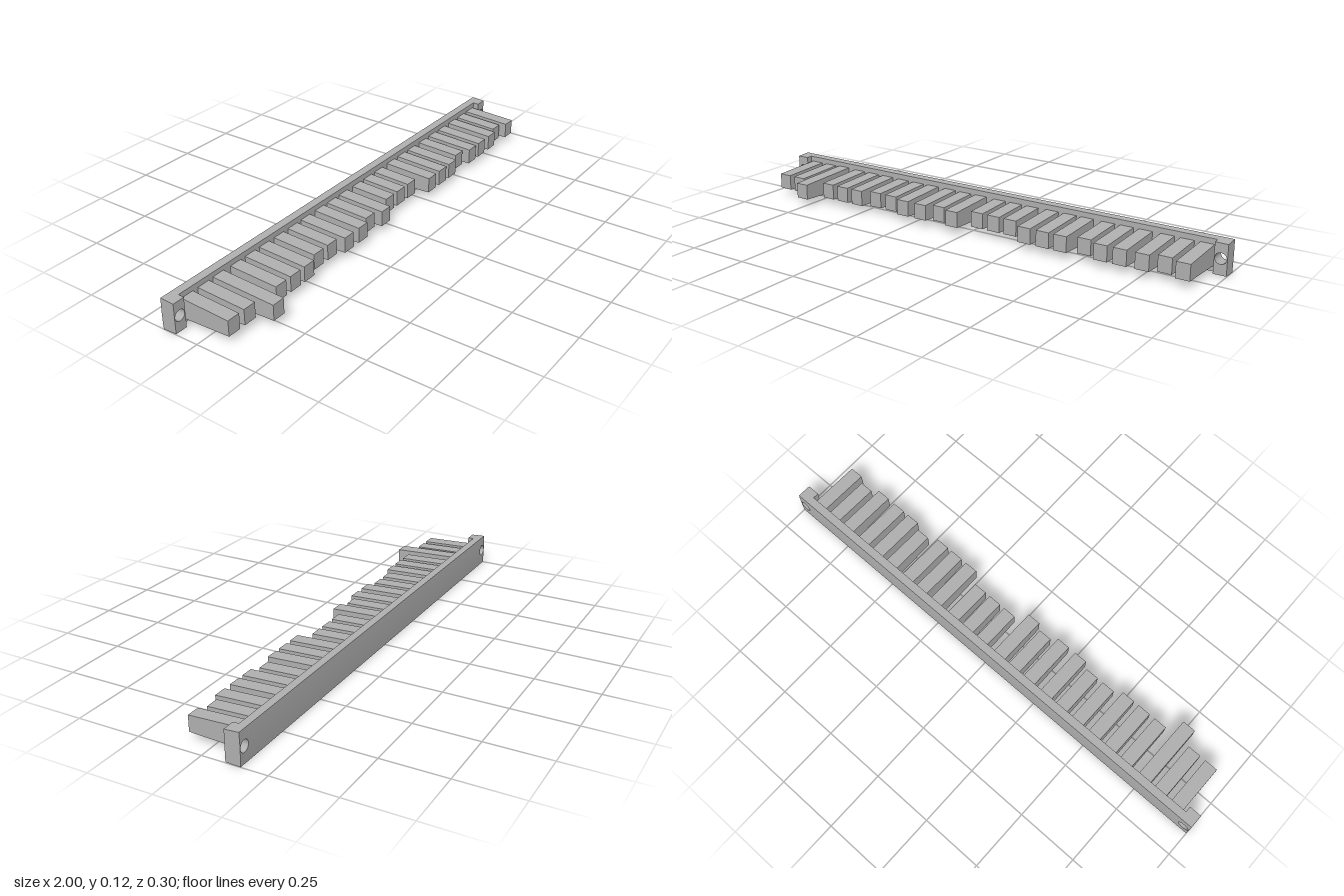
import * as THREE from 'three';

const MID = 0.0635;              // height of the bar's centre line
const BACK = -0.15, PLATE_FRONT = -0.116, END_FRONT = -0.092;
const HALF = 0.0625;             // half height at the back

// Draft the top and bottom towards the front and crown the back face slightly.
function shapeBar(geometry) {
  const p = geometry.attributes.position;
  for (let i = 0; i < p.count; i++) {
    const y = p.getY(i), z = p.getZ(i);
    p.setY(i, MID + y * (1 - 0.83 * (z - BACK)));
    if (z < BACK + 0.001) p.setZ(i, BACK + 0.0015 * (y / HALF) ** 2);
  }
  geometry.computeVertexNormals();
  return geometry;
}

// Long middle part of the backing bar.
function barGeometry() {
  const depth = PLATE_FRONT - BACK;
  const g = new THREE.BoxGeometry(1.9, HALF * 2, depth, 1, 8, 1);
  g.translate(0, 0, BACK + depth / 2);
  return shapeBar(g);
}

// Thicker end block with a round screw hole through it.
function endGeometry(side) {
  const cx = side * 0.975, w = 0.025;
  const points = [];
  for (let i = 0; i <= 8; i++) points.push(new THREE.Vector2(cx + w, -HALF + i * HALF / 4));
  for (let i = 8; i >= 0; i--) points.push(new THREE.Vector2(cx - w, -HALF + i * HALF / 4));
  const shape = new THREE.Shape(points);
  const hole = new THREE.Path();
  hole.absarc(cx, 0.002, 0.0225, 0, Math.PI * 2, true);
  shape.holes.push(hole);
  const g = new THREE.ExtrudeGeometry(shape, { depth: END_FRONT - BACK, bevelEnabled: false, curveSegments: 12 });
  g.translate(0, 0, BACK);
  return shapeBar(g);
}

// Finger that thickens from its tip back to the bar.
function fingerGeometry(x, tip) {
  const root = PLATE_FRONT - 0.004, length = tip - root;
  const g = new THREE.BoxGeometry(0.054, 0.062, length);
  g.translate(x, 0, root + length / 2);
  const p = g.attributes.position;
  for (let i = 0; i < p.count; i++) {
    const y = p.getY(i);
    p.setY(i, 0.064 + y + Math.sign(y) * 0.042 * (tip - p.getZ(i)));
  }
  const flat = g.toNonIndexed();
  flat.computeVertexNormals();
  return flat;
}

export function createModel() {
  const model = new THREE.Group();
  model.name = 'fingerStrip';
  const grey = new THREE.MeshStandardMaterial({ color: 0xb0b0b0 });
  grey.name = 'grey';
  const add = (geometry, name) => {
    const mesh = new THREE.Mesh(geometry, grey);
    mesh.name = name;
    model.add(mesh);
  };

  add(barGeometry(), 'backBar');
  add(endGeometry(1), 'leftEndBlock');
  add(endGeometry(-1), 'rightEndBlock');

  // Finger centres, and the length code of each finger.
  const centres = [-0.912, -0.834, -0.76, -0.671, -0.594, -0.518, -0.436, -0.357, -0.281, -0.195, -0.12, -0.045,
    0.045, 0.12, 0.195, 0.284, 0.362, 0.436, 0.524, 0.6, 0.676, 0.762, 0.838, 0.914];
  const tips = { L: 0.15, M: 0.088, S: 0.067, T: 0.045 };
  const codes = 'MMLMMMSSMMSMTTTMMMSMMMSM';
  centres.forEach((x, i) => add(fingerGeometry(x, tips[codes[i]]), 'finger' + (i + 1)));
  return model;
}
